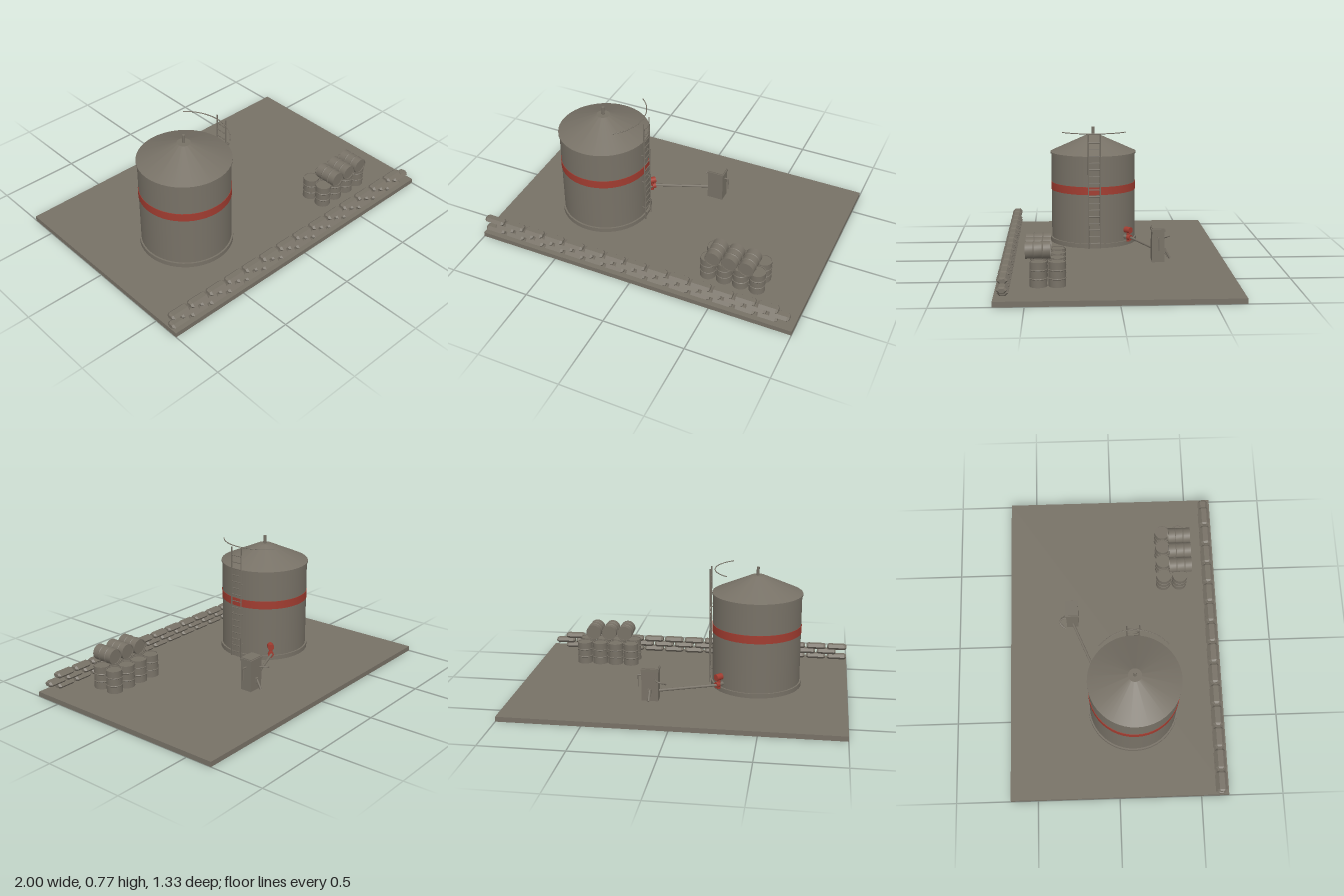
import * as THREE from 'three';
import { toCreasedNormals } from 'three/addons/utils/BufferGeometryUtils.js';

const GROUND = 0.03;
const grey = new THREE.MeshStandardMaterial({ color: 0x777166 });
grey.name = 'weatheredGrey';
const red = new THREE.MeshStandardMaterial({ color: 0xa03c30 });
red.name = 'rustRed';

const V = (x, y, z) => new THREE.Vector3(x, y, z);

function add(parent, name, geometry, material = grey, x = 0, y = 0, z = 0) {
  const mesh = new THREE.Mesh(geometry, material);
  mesh.name = name;
  mesh.position.set(x, y, z);
  parent.add(mesh);
  return mesh;
}

function group(parent, name, x = 0, y = 0, z = 0) {
  const g = new THREE.Group();
  g.name = name;
  g.position.set(x, y, z);
  parent.add(g);
  return g;
}

// Turned shape with sharp edges kept; profile runs from bottom to top
function lathe(profile, sides, crease = 0.5) {
  const points = profile.map(([r, y]) => new THREE.Vector2(r, y));
  return toCreasedNormals(new THREE.LatheGeometry(points, sides), crease);
}

// Round bar between two points
function bar(parent, name, a, b, radius, material = grey, sides = 10) {
  const dir = b.clone().sub(a);
  const mesh = add(parent, name, new THREE.CylinderGeometry(radius, radius, dir.length(), sides), material);
  mesh.position.copy(a).add(b).multiplyScalar(0.5);
  mesh.quaternion.setFromUnitVectors(V(0, 1, 0), dir.normalize());
  return mesh;
}

function tube(parent, name, points, radius) {
  const curve = new THREE.CatmullRomCurve3(points);
  return add(parent, name, new THREE.TubeGeometry(curve, 24, radius, 8, false));
}

function buildTank(root) {
  const tank = group(root, 'storageTank', -0.435, 0, 0.1);
  add(tank, 'tankFoot', lathe([[0, GROUND], [0.28, GROUND], [0.28, 0.058], [0.265, 0.058]], 48), grey);
  add(tank, 'tankWall', new THREE.CylinderGeometry(0.27, 0.27, 0.56, 48, 1, true), grey, 0, 0.33, 0);
  add(tank, 'tankRoof', lathe([[0.265, 0.603], [0.276, 0.603], [0.276, 0.613],
    [0.04, 0.72], [0, 0.72]], 48, 0.35));
  add(tank, 'tankStripe', lathe([[0.269, 0.37], [0.273, 0.37], [0.273, 0.42], [0.269, 0.42]], 48), red);
  add(tank, 'roofVent', new THREE.CylinderGeometry(0.009, 0.009, 0.055, 12), grey, 0, 0.743, 0);

  // Curved guard rail above the ladder side
  const rail = [];
  for (let i = 0; i <= 10; i++) {
    const a = -0.875 + 0.175 * i;
    rail.push(V(0.26 * Math.cos(a), 0.754, 0.26 * Math.sin(a)));
  }
  tube(tank, 'roofGuardRail', rail, 0.003);

  // Ladder on the tank's left side
  const ladder = group(tank, 'ladder', 0.286, 0, 0.001);
  for (const z of [-0.037, 0.037]) {
    bar(ladder, 'ladderRail', V(0, GROUND, z), V(0, 0.756, z), 0.004, grey, 8);
    for (const y of [0.12, 0.32, 0.52]) {
      bar(ladder, 'ladderBracket', V(-0.02, y, z), V(0, y, z), 0.003, grey, 6);
    }
  }
  for (let i = 0; i < 16; i++) {
    const y = 0.065 + i * 0.0425;
    bar(ladder, 'ladderRung', V(0, y, -0.037), V(0, y, 0.037), 0.003, grey, 6);
  }
}

function buildValve(root) {
  const valve = group(root, 'valve', -0.225, 0, -0.115);
  valve.rotation.y = Math.PI / 4; // local x points away from the tank
  bar(valve, 'valveOutlet', V(-0.035, 0.085, 0), V(0.005, 0.085, 0), 0.012);
  bar(valve, 'valveFlange', V(0, 0.085, 0), V(0.022, 0.085, 0), 0.018, red, 16);
  bar(valve, 'valveStem', V(0, 0.058, 0), V(0, 0.125, 0), 0.011, red, 12);
  bar(valve, 'valveHead', V(-0.022, 0.132, 0), V(0.022, 0.132, 0), 0.02, red, 16);
  bar(root, 'feedPipe', V(-0.215, 0.085, -0.13), V(0.13, 0.085, -0.27), 0.008);
}

function buildPump(root) {
  const pump = group(root, 'fuelPump', 0.165, 0, -0.268);
  add(pump, 'pumpCabinet', new THREE.BoxGeometry(0.1, 0.19, 0.074), grey, 0, 0.125, 0);
  add(pump, 'pumpCap', new THREE.BoxGeometry(0.108, 0.014, 0.082), grey, 0, 0.222, 0);
  add(pump, 'pumpCapTop', new THREE.BoxGeometry(0.098, 0.006, 0.072), grey, 0, 0.232, 0);

  // Crank on the side
  bar(pump, 'crankAxle', V(0.05, 0.18, 0), V(0.077, 0.18, 0), 0.005);
  bar(pump, 'crankArm', V(0.074, 0.183, 0), V(0.074, 0.105, 0), 0.004);

  // Spout and hanging nozzle at the back
  tube(pump, 'pumpSpout', [V(-0.035, 0.165, -0.035), V(-0.045, 0.166, -0.065),
    V(-0.065, 0.163, -0.077), V(-0.085, 0.155, -0.065), V(-0.098, 0.143, -0.045)], 0.005);
  add(pump, 'nozzleHolder', new THREE.BoxGeometry(0.022, 0.025, 0.012), grey, 0, 0.095, -0.042);
  bar(pump, 'nozzle', V(0, 0.1, -0.042), V(0, 0.042, -0.074), 0.007);
  bar(pump, 'nozzleLever', V(0, 0.075, -0.045), V(0, 0.046, -0.064), 0.003);
}

function buildBarrels(root) {
  const stack = group(root, 'barrelStack');
  const half = 0.07;
  const profile = [[0, -half + 0.005], [0.043, -half + 0.005], [0.043, -half], [0.048, -half]];
  // Two raised hoops around the body
  for (const y of [-0.024, 0.024]) {
    profile.push([0.047, y - 0.004], [0.0495, y - 0.001], [0.0495, y + 0.001], [0.047, y + 0.004]);
  }
  profile.push([0.048, half], [0.043, half], [0.043, half - 0.005], [0, half - 0.005]);
  const barrel = lathe(profile, 24);

  for (const z of [0.33, 0.433]) {
    for (let i = 0; i < 4; i++) {
      add(stack, 'standingBarrel', barrel, grey, 0.4 + i * 0.102, GROUND + half, z);
    }
  }
  for (let i = 0; i < 3; i++) {
    add(stack, 'lyingBarrel', barrel, grey, 0.45 + i * 0.103, 0.22, 0.435).rotation.x = Math.PI / 2;
  }
}

function buildSandbags(root) {
  const wall = group(root, 'sandbagWall');
  // Six-sided bag with tapered ends, lying along x
  const bag = lathe([[0, -0.0625], [0.021, -0.0625], [0.0325, -0.05],
    [0.0325, 0.05], [0.021, 0.0625], [0, 0.0625]], 6, 0.2);
  bag.rotateZ(Math.PI / 2);
  bag.scale(1, 0.6, 1);
  for (let row = 0; row < 3; row++) {
    for (let i = 0; i < 14; i++) {
      const x = -0.935 + i * 0.1365 + (row === 1 ? 0.068 : 0);
      add(wall, 'sandbag', bag, grey, x, GROUND + 0.0165 + row * 0.033, 0.618);
    }
  }
}

export function createModel() {
  const root = new THREE.Group();
  root.name = 'fuelDepot';
  add(root, 'groundSlab', new THREE.BoxGeometry(2, GROUND, 1.334), grey, 0, GROUND / 2, 0);
  buildTank(root);
  buildValve(root);
  buildPump(root);
  buildBarrels(root);
  buildSandbags(root);
  return root;
}
